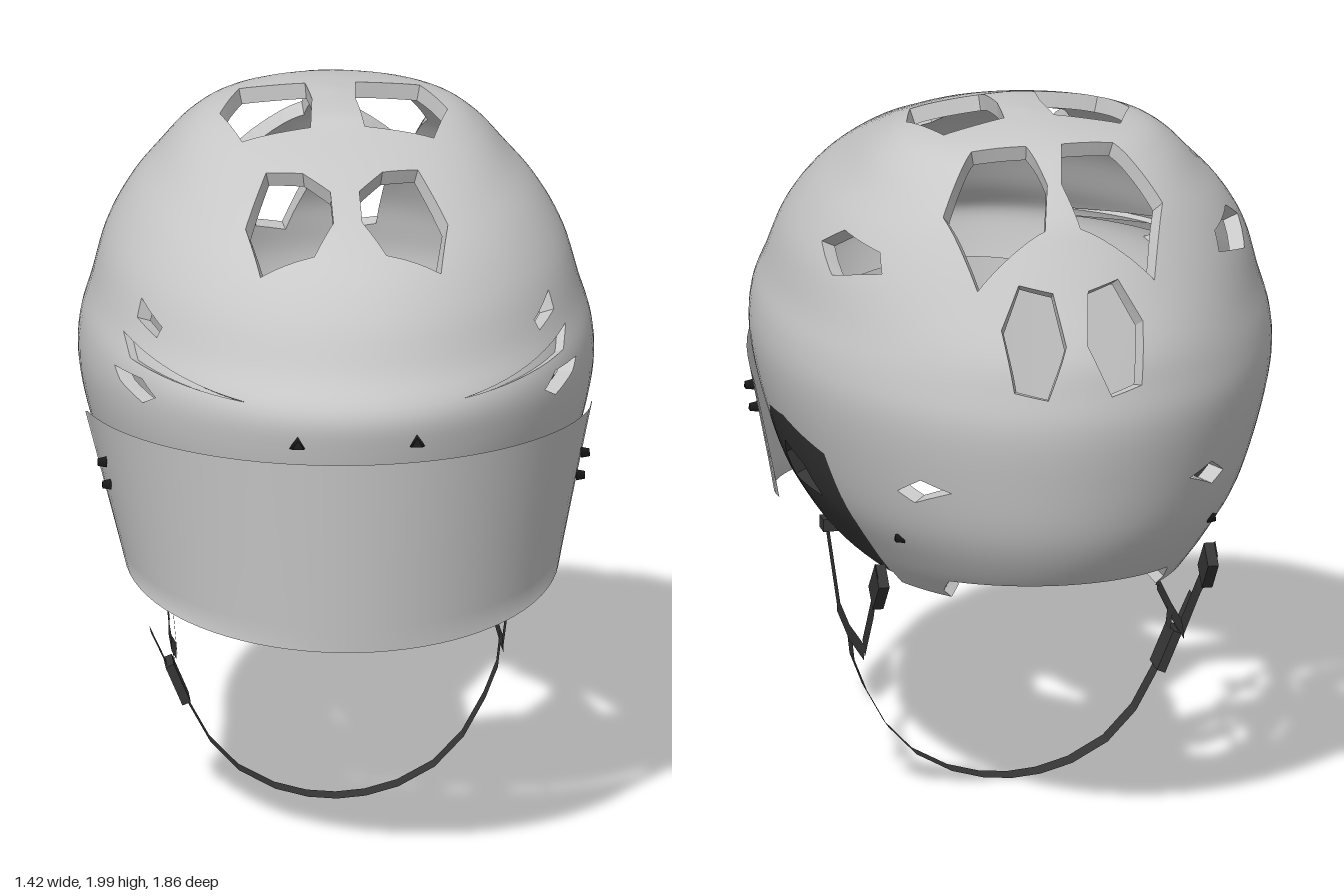
import * as THREE from 'three';
import { ParametricGeometry } from 'three/addons/geometries/ParametricGeometry.js';
import { mergeVertices } from 'three/addons/utils/BufferGeometryUtils.js';

const THICK = 0.045;
// shell levels from crown to rim: y, half width, front z, back z
const LEVELS = [
  [2.0, 0, -0.18, -0.18], [1.987, 0.14, 0.0, -0.34], [1.957, 0.32, 0.1, -0.47], [1.905, 0.41, 0.275, -0.56],
  [1.82, 0.49, 0.51, -0.665], [1.73, 0.57, 0.67, -0.73], [1.62, 0.635, 0.775, -0.8], [1.49, 0.675, 0.85, -0.88],
  [1.39, 0.705, 0.92, -0.91], [1.28, 0.71, 0.912, -0.927], [1.13, 0.68, 0.87, -0.91], [0.95, 0.62, 0.8, -0.87],
  [0.815, 0.54, 0.75, -0.795], [0.72, 0.48, 0.7, -0.7],
];
const PROJECT = {
  top: (p) => [Math.abs(p[0]), p[2]],
  side: (p) => [p[2], p[1]],
  back: (p) => [Math.abs(p[0]), p[1]],
};
const REGION = { top: (p) => p[1] > 1.5, side: () => true, back: (p) => p[2] < -0.5 };
// convex cut-outs, mirrored left and right: view, fate, outline
const CUTS = [
  // crown vents
  ['top', 'open', [[0.04, 0.37], [0.11, 0.28], [0.21, 0.25], [0.28, 0.45], [0.25, 0.62], [0.1, 0.61], [0.04, 0.5]]],
  ['top', 'open', [[0.07, -0.24], [0.25, -0.28], [0.315, -0.1], [0.265, 0.085], [0.075, 0.07], [0.06, -0.1]]],
  ['top', 'open', [[0.05, -0.68], [0.25, -0.72], [0.31, -0.55], [0.2, -0.41], [0.05, -0.43], [0.02, -0.57]]],
  // rear vents
  ['back', 'open', [[0.05, 1.65], [0.14, 1.67], [0.2, 1.56], [0.18, 1.4], [0.09, 1.38], [0.03, 1.52]]],
  // side vents
  ['side', 'open', [[-0.25, 1.675], [-0.32, 1.725], [-0.48, 1.705], [-0.52, 1.655], [-0.36, 1.61]]],
  ['side', 'open', [[0.51, 1.535], [0.38, 1.58], [0.4, 1.53], [0.51, 1.505]]],
  ['side', 'open', [[0.6, 1.36], [0.535, 1.395], [0.39, 1.39], [0.435, 1.36], [0.55, 1.33]]],
  ['side', 'open', [[-0.645, 1.065], [-0.72, 1.115], [-0.78, 1.09], [-0.685, 1.04]]],
  // brow grooves
  ['side', 'groove', [[0.82, 1.412], [0.365, 1.48], [0.455, 1.43]]],
  // ear holes and ear pads
  ['side', 'padHole', [[-0.02, 0.93], [-0.03, 1.0], [-0.08, 1.05], [-0.2, 1.02], [-0.26, 0.94]]],
  ['side', 'pad', [[0.13, 0.93], [0.1, 1.05], [0, 1.13], [-0.15, 1.145], [-0.38, 1.1], [-0.405, 0.9], [-0.39, 0.75], [0.09, 0.86]]],
  // lower rim
  ['side', 'open', [[-0.4, 0.5], [-0.4, 0.75], [0.13, 0.87], [0.13, 0.5]]],
  ['side', 'open', [[0.1, 0.5], [0.1, 1.09], [0.95, 1.24], [0.95, 0.5]]],
  ['side', 'open', [[-0.56, 0.6], [-0.56, 0.74], [-0.62, 0.785], [-1, 0.83], [-1, 0.6]]],
];

function shellSurface() {
  const front = new THREE.CatmullRomCurve3(LEVELS.map(([y, w, f]) => new THREE.Vector3(w, y, f)), false, 'catmullrom');
  const back = new THREE.CatmullRomCurve3(LEVELS.map(([y, w, , b]) => new THREE.Vector3(w, y, b)), false, 'catmullrom');
  const g = new ParametricGeometry((u, v, out) => {
    const f = front.getPoint(1 - v), b = back.getPoint(1 - v), a = u * Math.PI * 2;
    const mid = -0.18 * THREE.MathUtils.smoothstep(f.y, 1.4, 2);
    const c = Math.cos(a);
    out.set(f.x * Math.sin(a), f.y, mid + c * (c > 0 ? f.z - mid : mid - b.z));
  }, 96, 65);
  g.deleteAttribute('normal');
  g.deleteAttribute('uv');
  const m = mergeVertices(g);
  m.computeVertexNormals();
  return m.toNonIndexed();
}

// split a polygon by the line a-b; side = sign of the inside
function split(poly, proj, a, b, sign) {
  const d = poly.map((p) => {
    const [s, t] = proj(p);
    return sign * ((b[0] - a[0]) * (t - a[1]) - (b[1] - a[1]) * (s - a[0]));
  });
  const inside = [], outside = [];
  poly.forEach((p, i) => {
    const j = (i + 1) % poly.length, q = poly[j];
    if (d[i] >= 0) inside.push(p);
    if (d[i] <= 0) outside.push(p);
    if (d[i] * d[j] < 0) {
      const k = d[i] / (d[i] - d[j]);
      const m = p.map((v, n) => v + (q[n] - v) * k);
      inside.push(m);
      outside.push(m);
    }
  });
  return [d.some((v) => v > 1e-9) ? inside : [], d.some((v) => v < -1e-9) ? outside : []];
}

function geometry(pos, nor) {
  const g = new THREE.BufferGeometry();
  g.setAttribute('position', new THREE.Float32BufferAttribute(pos, 3));
  if (nor) g.setAttribute('normal', new THREE.Float32BufferAttribute(nor, 3));
  else g.computeVertexNormals();
  return g;
}

// cut the shell, collecting skins and the walls around each opening
function cutShell() {
  const src = shellSurface(), P = src.attributes.position, N = src.attributes.normal;
  const skins = { shell: [[], []], pad: [[], []] }, walls = { shell: [], pad: [] };
  const inner = (p) => [0, 1, 2].map((i) => p[i] - p[i + 3] * THICK);
  const addSkin = ([pos, nor], poly, outer = true) => {
    for (let i = 1; i < poly.length - 1; i++) {
      const tri = [poly[0], poly[i], poly[i + 1]];
      if (outer) tri.forEach((p) => { pos.push(...p.slice(0, 3)); nor.push(...p.slice(3)); });
      tri.reverse().forEach((p) => { pos.push(...inner(p)); nor.push(-p[3], -p[4], -p[5]); });
    }
  };
  const addWalls = (list, poly, proj, shape) => poly.forEach((p, i) => {
    const q = poly[(i + 1) % poly.length];
    const onEdge = shape.some((a, k) => {
      const b = shape[(k + 1) % shape.length];
      return [p, q].every((r) => {
        const [s, t] = proj(r);
        return Math.abs((b[0] - a[0]) * (t - a[1]) - (b[1] - a[1]) * (s - a[0])) < 1e-7;
      });
    });
    if (onEdge) {
      const o = p.slice(0, 3), r = q.slice(0, 3), ip = inner(p), iq = inner(q);
      list.push(...o, ...iq, ...r, ...o, ...ip, ...iq);
    }
  });
  for (let i = 0; i < P.count; i += 3) {
    let pieces = [[0, 1, 2].map((k) => [P.getX(i + k), P.getY(i + k), P.getZ(i + k), N.getX(i + k), N.getY(i + k), N.getZ(i + k)])];
    for (const [view, fate, shape] of CUTS) {
      const proj = PROJECT[view];
      const sign = Math.sign(THREE.ShapeUtils.area(shape.map(([x, y]) => ({ x, y }))));
      pieces = pieces.flatMap((piece) => {
        if (!REGION[view](piece[0])) return [piece];
        let rest = piece;
        const kept = [];
        for (let k = 0; k < shape.length; k++) {
          const [ins, out] = split(rest, proj, shape[k], shape[(k + 1) % shape.length], sign);
          if (ins.length < 3) return [piece];
          if (out.length > 2) kept.push(out);
          rest = ins;
        }
        const owner = fate.startsWith('pad') ? 'pad' : 'shell';
        addWalls(walls[owner], rest, proj, shape);
        if (fate === 'pad') addSkin(skins.pad, rest);
        if (fate === 'groove') addSkin(skins.shell, rest.map((p) => [...inner(p), ...p.slice(3)]).map((p) => p.map((v, n) => (n < 3 ? v + p[n + 3] * THICK * 0.4 : v))));
        return kept;
      });
    }
    pieces.forEach((p) => addSkin(skins.shell, p));
  }
  return { skins, walls };
}

// flat band along a path; "across" fixes the width direction
function ribbon(points, width, across) {
  const pts = points.map((p) => new THREE.Vector3(...p)), pos = [], rows = [];
  pts.forEach((p, i) => {
    const dir = pts[Math.min(i + 1, pts.length - 1)].clone().sub(pts[Math.max(i - 1, 0)]);
    const side = (across ? across.clone() : dir.cross(new THREE.Vector3(1, 0, 0))).normalize().multiplyScalar(width / 2);
    rows.push([p.clone().sub(side).toArray(), p.clone().add(side).toArray()]);
  });
  for (let i = 0; i < rows.length - 1; i++) {
    const [a, b] = rows[i], [c, d] = rows[i + 1];
    pos.push(...a, ...b, ...d, ...a, ...d, ...c);
  }
  return geometry(pos);
}

export function createModel() {
  const model = new THREE.Group();
  const material = (name, color) => {
    const m = new THREE.MeshStandardMaterial({ color, side: THREE.DoubleSide });
    m.name = name;
    return m;
  };
  const grey = material('light grey', 0xc8c8c8), dark = material('charcoal', 0x363636), black = material('black', 0x1c1c1c);
  const add = (name, geo, mat) => {
    const m = new THREE.Mesh(geo, mat);
    m.name = name;
    model.add(m);
    return m;
  };

  // shell and ear pads
  const { skins, walls } = cutShell();
  add('shell', geometry(...skins.shell), grey);
  add('shellEdges', geometry(walls.shell), grey);
  add('earPads', geometry(...skins.pad), dark);
  add('earPadEdges', geometry(walls.pad), dark);

  // wraparound visor
  add('visor', new ParametricGeometry((u, v, out) => {
    const a = (u - 0.5) * Math.PI, t = Math.max(0, Math.cos(a)), k = Math.pow(v, 0.85);
    const z0 = THREE.MathUtils.lerp(0.24, 0.1, k), zf = THREE.MathUtils.lerp(0.885, 0.935, v);
    out.set(THREE.MathUtils.lerp(0.6, 0.7, v) * Math.sin(a),
      THREE.MathUtils.lerp(0.78 - 0.08 * t, 1.165 + 0.095 * Math.pow(t, 0.6), v), z0 + (zf - z0) * t);
  }, 40, 8), grey);

  for (const s of [1, -1]) {
    // side straps meeting at a junction band
    add('frontStrap', ribbon([[s * 0.56, 0.87, 0.2], [s * 0.48, 0.78, 0.23], [s * 0.45, 0.48, 0.155]], 0.05), dark);
    add('rearStrap', ribbon([[s * 0.45, 0.46, -0.165], [s * 0.46, 0.62, -0.32], [s * 0.48, 0.78, -0.47]], 0.05), dark);
    add('junctionBand', ribbon([[s * 0.452, 0.485, 0.17], [s * 0.455, 0.455, 0], [s * 0.452, 0.45, -0.18]], 0.045), dark);
    const buckle = add('strapBuckle', new THREE.BoxGeometry(0.03, 0.12, 0.075), dark);
    buckle.position.set(s * 0.465, 0.72, -0.43);
    buckle.rotation.x = -0.75;
    const clip = add('frontClip', new THREE.BoxGeometry(0.08, 0.035, 0.05), dark);
    clip.position.set(s * 0.45, 0.71, 0.2);

    // rivets: position and facing axis
    for (const [x, y, z, axis] of [[0.165, 1.31, 0.9, 'z'], [0.655, 1.02, 0.32, 'x'], [0.668, 1.085, 0.32, 'x'], [0.44, 0.905, -0.58, 'x']]) {
      const r = axis === 'z' ? 0.026 : 0.018;
      const geo = new THREE.CylinderGeometry(r * 0.7, r, 0.025, 3).rotateX(Math.PI / 2).rotateZ(Math.PI);
      if (axis === 'x') geo.rotateY(s * Math.PI / 2);
      add('rivet', geo.toNonIndexed(), black).position.set(s * x, y, z);
    }
  }

  // chin strap with its buckle and loose end
  const acrossZ = new THREE.Vector3(0, 0, 1);
  const half = [[0.455, 0.47], [0.445, 0.38], [0.41, 0.29], [0.35, 0.18], [0.27, 0.095], [0.17, 0.04], [0.08, 0.015]];
  const chin = [...half.map(([x, y]) => [x, y, 0.01]), [0, 0.008, 0.01], ...half.map(([x, y]) => [-x, y, 0.01]).reverse()];
  add('chinStrap', ribbon(chin, 0.065, acrossZ), dark);
  add('looseStrapEnd', ribbon([[-0.41, 0.29, 0.01], [-0.46, 0.38, 0.01], [-0.515, 0.5, 0.01]], 0.06, acrossZ), dark);
  const chinBuckle = add('chinBuckle', new THREE.BoxGeometry(0.025, 0.12, 0.095), dark);
  chinBuckle.position.set(-0.44, 0.35, 0.005);
  chinBuckle.rotation.z = 0.4;
  return model;
}
